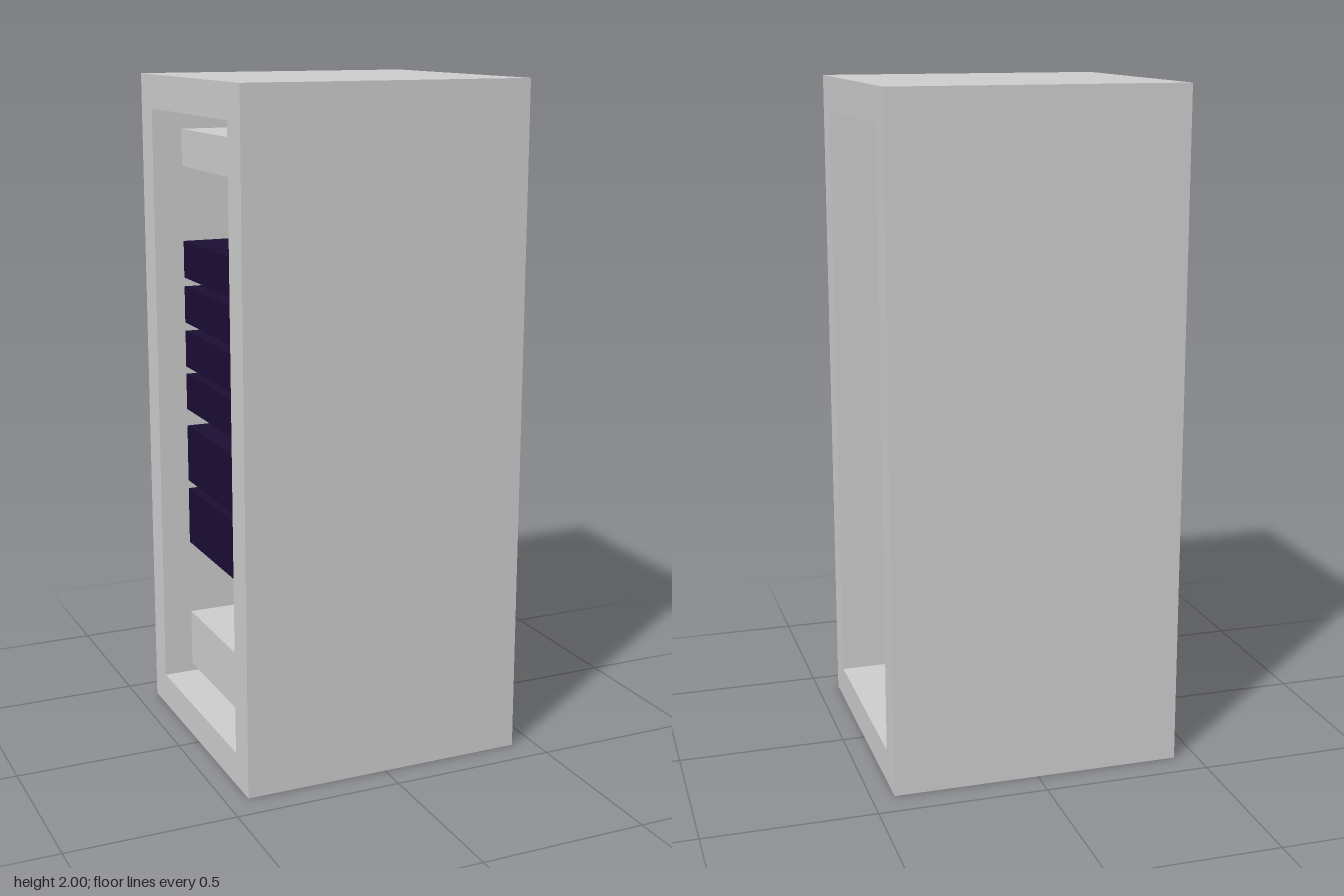
import * as THREE from 'three';

const grey = new THREE.MeshStandardMaterial({ color: 0xcccccc });
const dark = new THREE.MeshStandardMaterial({ color: 0x1a0d33 });
const red = new THREE.MeshStandardMaterial({ color: 0xdd1515 });

const FRONT = 0.28, BACK = -0.35; // x extent of the rack units

// Box given by its limits on each axis
function box(name, material, [x0, x1], [y0, y1], [z0, z1]) {
  const mesh = new THREE.Mesh(new THREE.BoxGeometry(x1 - x0, y1 - y0, z1 - z0), material);
  mesh.position.set((x0 + x1) / 2, (y0 + y1) / 2, (z0 + z1) / 2);
  mesh.name = name;
  return mesh;
}

const unit = (name, material, y0, y1) => box(name, material, [BACK, FRONT], [y0, y1], [-0.29, 0.29]);
const plate = (name, material, y, z) => box(name, material, [FRONT - 0.01, FRONT + 0.002], y, z);

// Cabinet: rectangular frame extruded along x, open at both ends
function cabinet() {
  const shape = new THREE.Shape([[-0.41, 0], [0.41, 0], [0.41, 2], [-0.41, 2]].map(p => new THREE.Vector2(...p)));
  shape.holes.push(new THREE.Path([[-0.315, 0.1], [-0.315, 1.9], [0.315, 1.9], [0.315, 0.1]].map(p => new THREE.Vector2(...p))));
  const geometry = new THREE.ExtrudeGeometry(shape, { depth: 0.865, bevelEnabled: false });
  geometry.translate(0, 0, -0.4325).rotateY(Math.PI / 2);
  const mesh = new THREE.Mesh(geometry, grey);
  mesh.name = 'cabinet';
  return mesh;
}

export function createModel() {
  const model = new THREE.Group();
  model.name = 'serverRack';
  model.add(cabinet());

  // Top unit with a dark display
  model.add(unit('topUnit', grey, 1.73, 1.84));
  model.add(plate('display', dark, [1.765, 1.805], [-0.145, 0.03]));

  // Four slim servers, each with a red light
  [0.98, 1.115, 1.253, 1.392].forEach((y, i) => {
    model.add(unit(`server${i + 1}`, dark, y, y + 0.112));
    model.add(plate(`serverLight${i + 1}`, red, [y + 0.027, y + 0.06], [0.143, 0.262]));
  });

  // Two tall storage units
  [0.547, 0.75].forEach((y, i) => model.add(unit(`storageUnit${i + 1}`, dark, y, y + 0.177)));

  // Bottom power unit: grey body with a dark front face (+x)
  model.add(unit('powerUnit', [dark, grey, grey, grey, grey, grey], 0.137, 0.314));

  return model;
}
